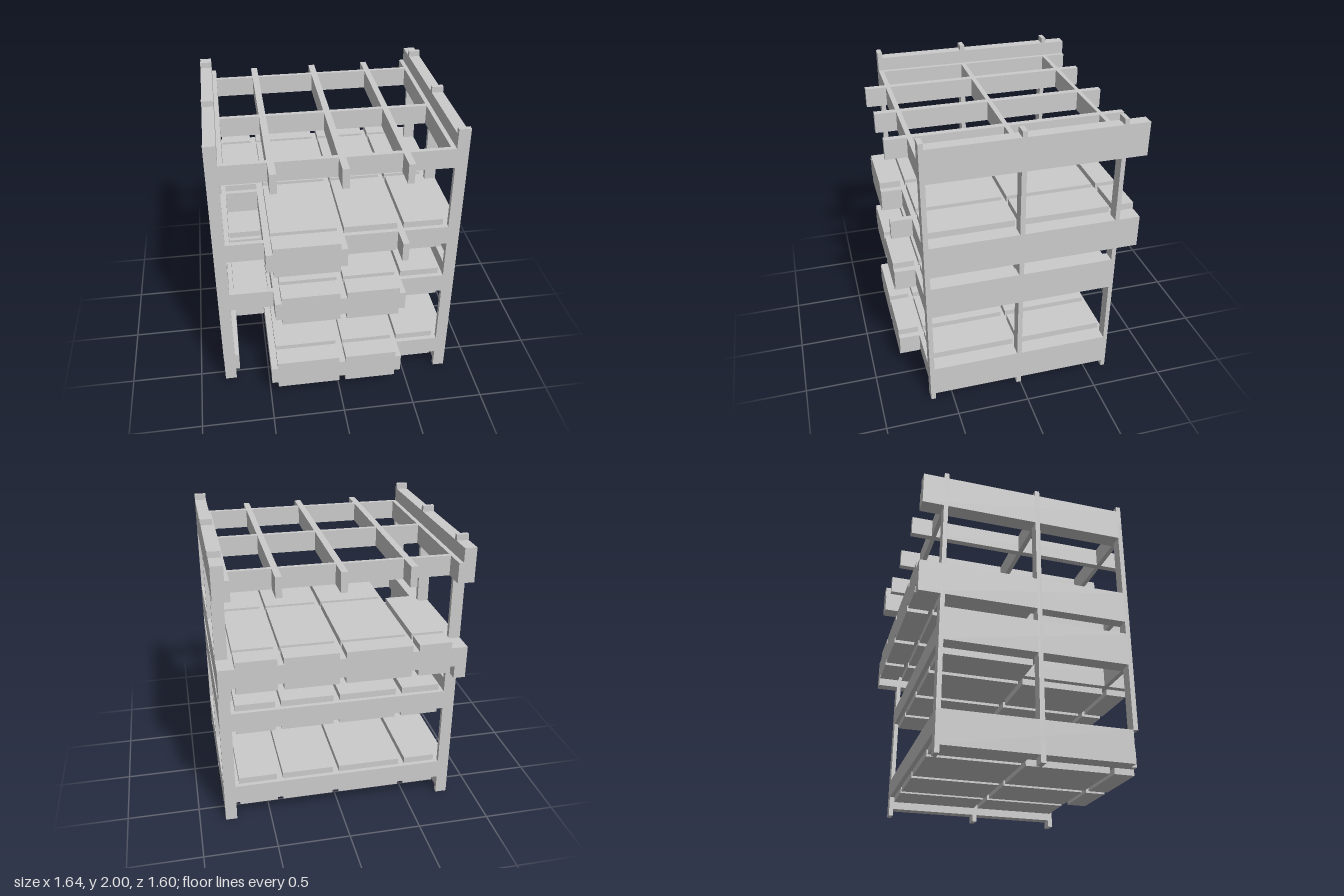
import * as THREE from 'three';

export function createModel() {
  const model = new THREE.Group();
  const material = new THREE.MeshStandardMaterial({ color: 0xcccccc, flatShading: true });

  // Box given by its minimum and maximum on each axis
  function box(parent, name, [x0, x1], [y0, y1], [z0, z1]) {
    const mesh = new THREE.Mesh(new THREE.BoxGeometry(x1 - x0, y1 - y0, z1 - z0), material);
    mesh.position.set((x0 + x1) / 2, (y0 + y1) / 2, (z0 + z1) / 2);
    mesh.name = name;
    parent.add(mesh);
  }

  const BACK = -0.8, FRONT = 0.8, EDGE = 0.655;
  const rows = [[-EDGE, -0.625], [-0.005, 0.028], [0.622, EDGE]]; // column and cross beam lines
  const sides = { left: [0.74, 0.82], right: [-0.82, -0.74] };

  // Columns; the front right one stops on top of the lowest side beam
  const frame = new THREE.Group();
  frame.name = 'columns';
  model.add(frame);
  for (const [side, x] of Object.entries(sides)) {
    rows.forEach((z, i) => {
      const foot = side === 'right' && i === 2 ? 0.275 : 0;
      box(frame, side + 'Column', x, [foot, 2], z);
    });
  }

  // beam: height of joists; side: height of side beams; joist: start of the first joist;
  // back: rear end; bays: panels built out at the front; stubs: joists reaching the front
  const levels = [
    { name: 'groundFloor', beam: [0.14, 0.275], side: [0.05, 0.275], joist: [-0.49, -0.445], back: -EDGE, bays: [1, 2], stubs: [0, 1, 2], panels: true, openCorner: true },
    { name: 'secondFloor', beam: [0.73, 0.865], side: [0.73, 0.96], joist: [-0.445, -0.40], back: -EDGE, bays: [1, 2], stubs: [0, 1, 2], panels: true },
    { name: 'thirdFloor', beam: [1.14, 1.275], side: [1.05, 1.275], joist: [-0.49, -0.445], back: BACK, bays: [1], stubs: [0, 1, 2], panels: true },
    { name: 'roofFrame', beam: [1.73, 1.865], side: [1.73, 1.96], joist: [-0.445, -0.40], back: BACK, bays: [], stubs: [0, 1, 2], panels: false },
  ];

  for (const level of levels) {
    const floor = new THREE.Group();
    floor.name = level.name;
    model.add(floor);
    const joists = [level.joist, [-0.005, 0.04], [0.4, 0.442]];

    // Deep side beams with a shallow ledger on the inside
    for (const [side, x] of Object.entries(sides)) {
      const end = level.openCorner && side === 'right' ? 0.622 : EDGE;
      box(floor, side + 'SideBeam', x, level.side, [level.back, end]);
      const ledger = side === 'left' ? [0.71, 0.74] : [-0.74, -0.71];
      box(floor, side + 'Ledger', ledger, level.beam, [level.back, end]);
    }

    // Cross beams from side to side
    rows.forEach((z, i) => {
      const start = level.openCorner && i === 2 ? level.joist[0] : -0.74;
      box(floor, 'crossBeam', [start, 0.74], level.beam, z);
    });

    // Joists from back to front
    joists.forEach((x, i) => {
      box(floor, 'joist', x, level.beam, [level.back, level.stubs.includes(i) ? FRONT : EDGE]);
    });

    // Thick panels filling the bays, except the stair opening at the front right corner
    if (!level.panels) continue;
    const height = [level.beam[0] - 0.044, level.beam[1] + 0.045];
    const edges = [-0.71, ...joists.flat(), 0.71];
    for (let i = 0; i < 4; i++) {
      const x = [edges[2 * i], edges[2 * i + 1]];
      box(floor, 'floorPanel', x, height, [rows[0][1], rows[1][0]]);
      if (i > 0) box(floor, 'floorPanel', x, height, [rows[1][1], rows[2][0]]);
      if (level.back === BACK) box(floor, 'rearPanel', x, height, [BACK, -EDGE]);
      if (level.bays.includes(i)) box(floor, 'balconyPanel', x, height, [EDGE, FRONT]);
    }
  }
  return model;
}
